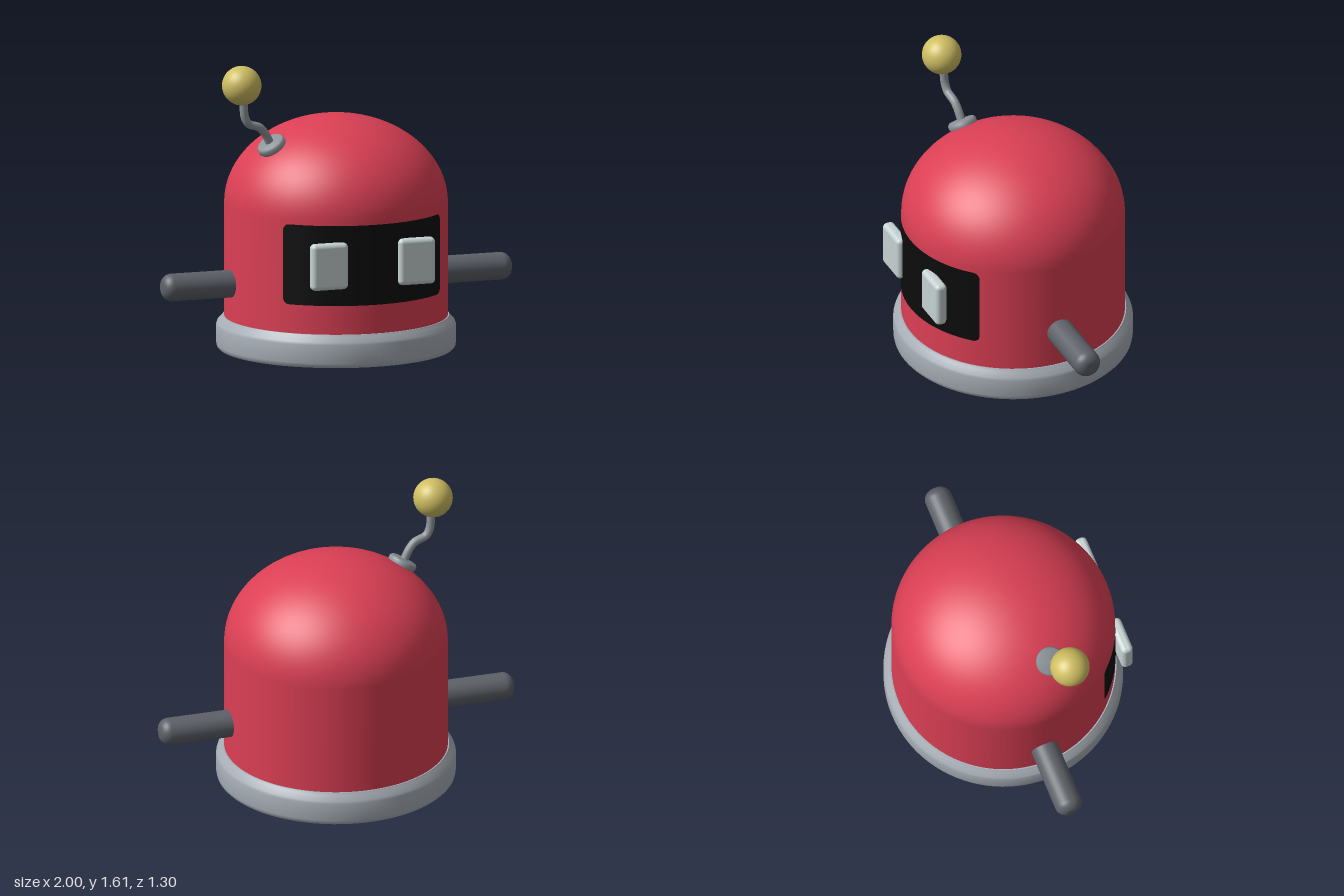
import * as THREE from 'three';
import { toCreasedNormals } from 'three/addons/utils/BufferGeometryUtils.js';
import { RoundedBoxGeometry } from 'three/addons/geometries/RoundedBoxGeometry.js';

const R = 0.605; // body radius

function material(name, color) {
  const m = new THREE.MeshStandardMaterial({ color });
  m.name = name;
  return m;
}

function lathe(points, segments) {
  return new THREE.LatheGeometry(points.map(([x, y]) => new THREE.Vector2(x, y)), segments);
}

// Rounded rectangle wrapped round the front of the body
function visorGeometry(radius, halfAngle, y0, y1, corner) {
  const pos = [], index = [], n = 64;
  const half = radius * halfAngle;
  for (let i = 0; i <= n; i++) {
    // cosine spacing puts more columns at the rounded corners
    const s = -half * Math.cos((i / n) * Math.PI);
    const over = Math.max(0, Math.abs(s) - (half - corner));
    const inset = corner - Math.sqrt(Math.max(0, corner * corner - over * over));
    const x = radius * Math.sin(s / radius), z = radius * Math.cos(s / radius);
    pos.push(x, y0 + inset, z, x, y1 - inset, z);
    if (i < n) {
      const a = i * 2;
      index.push(a, a + 2, a + 1, a + 2, a + 3, a + 1);
    }
  }
  const g = new THREE.BufferGeometry();
  g.setAttribute('position', new THREE.Float32BufferAttribute(pos, 3));
  g.setIndex(index);
  g.computeVertexNormals();
  return g;
}

export function createModel() {
  const model = new THREE.Group();
  model.name = 'domeRobot';
  const red = material('red shell', 0xdb3f54);
  const silver = material('silver base', 0xa6adb5);
  const steel = material('antenna steel', 0x8d9499);
  const darkGrey = material('arm grey', 0x5d6168);
  const black = material('visor black', 0x0c0c0c);
  const pale = material('eye white', 0xc6d2d2);
  const gold = material('gold', 0xcfbe62);
  const hatchDark = material('hatch dark', 0x1f292e);

  function add(name, geometry, mat, parent = model) {
    const mesh = new THREE.Mesh(geometry, mat);
    mesh.name = name;
    parent.add(mesh);
    return mesh;
  }

  // Domed body
  const profile = [[R, 0.12], [R, 0.45]];
  for (let i = 0; i <= 24; i++) {
    const a = (i / 24) * Math.PI / 2;
    profile.push([i === 24 ? 0 : R * Math.cos(a), 0.8 + 0.48 * Math.sin(a)]);
  }
  add('body', lathe(profile, 96), red);

  // Base ring with a closed underside
  const ring = lathe([
    [0, 0.004], [0.635, 0.004], [0.645, 0.014], [0.648, 0.03], [0.648, 0.13],
    [0.643, 0.145], [0.62, 0.17], [0.612, 0.182], [0.59, 0.182],
  ], 96);
  add('base', toCreasedNormals(ring, 0.75), silver);

  // Underside hatch with four edge notches and a cross
  const hatch = new THREE.Shape();
  for (let i = 0; i < 128; i++) {
    const a = (i / 128) * Math.PI * 2;
    const r = i % 32 === 16 ? 0.375 : 0.407;
    hatch[i ? 'lineTo' : 'moveTo'](r * Math.cos(a), r * Math.sin(a));
  }
  const hatchMesh = add('hatch', new THREE.ShapeGeometry(hatch), hatchDark);
  hatchMesh.rotation.x = Math.PI / 2;
  hatchMesh.position.y = 0.002;

  const cross = new THREE.Shape();
  const l = 0.075, w = 0.025;
  [[l, -w], [l, w], [w, w], [w, l], [-w, l], [-w, w], [-l, w], [-l, -w],
    [-w, -w], [-w, -l], [w, -l], [w, -w]]
    .forEach(([x, y], i) => cross[i ? 'lineTo' : 'moveTo'](x, y));
  const crossMesh = add('hatchCross', new THREE.ShapeGeometry(cross), gold);
  crossMesh.rotation.x = Math.PI / 2;

  // Face
  add('visor', visorGeometry(R + 0.003, Math.asin(0.45 / (R + 0.003)), 0.34, 0.78, 0.035), black);

  // Arm with a rounded tip, along +y before turning
  const armProfile = [[0.075, 0.55]];
  for (let i = 0; i <= 8; i++) {
    const a = (i / 8) * Math.PI / 2;
    armProfile.push([0.02 + 0.055 * Math.cos(a), 0.945 + 0.055 * Math.sin(a)]);
  }
  armProfile.push([0, 1]);
  const armGeometry = lathe(armProfile, 32);
  const eyeGeometry = new RoundedBoxGeometry(0.21, 0.255, 0.066, 4, 0.025);

  for (const [side, s] of [['left', 1], ['right', -1]]) {
    add(side + 'Eye', eyeGeometry, pale).position.set(s * 0.25, 0.563, 0.586);
    const arm = add(side + 'Arm', armGeometry, darkGrey);
    arm.rotation.z = -s * Math.PI / 2;
    arm.position.y = 0.388;
  }

  // Antenna
  const antenna = new THREE.Group();
  antenna.name = 'antenna';
  model.add(antenna);
  const foot = add('antennaFoot', lathe([
    [0, -0.03], [0.07, -0.03], [0.08, -0.015], [0.08, 0.006], [0.07, 0.018], [0, 0.022],
  ], 32), steel, antenna);
  foot.position.set(-0.412, 1.16, 0.112);
  foot.quaternion.setFromUnitVectors(
    new THREE.Vector3(0, 1, 0), new THREE.Vector3(-0.52, 0.83, 0.14).normalize());
  const path = new THREE.CatmullRomCurve3([
    [-0.415, 1.16, 0.112], [-0.45, 1.225, 0.12], [-0.485, 1.262, 0.127],
    [-0.55, 1.287, 0.136], [-0.573, 1.325, 0.14], [-0.583, 1.41, 0.145], [-0.593, 1.48, 0.15],
  ].map((p) => new THREE.Vector3(...p)));
  add('antennaStem', new THREE.TubeGeometry(path, 48, 0.023, 16), steel, antenna);
  add('antennaBall', new THREE.SphereGeometry(0.107, 40, 28), gold, antenna)
    .position.set(-0.595, 1.503, 0.15);

  return model;
}
